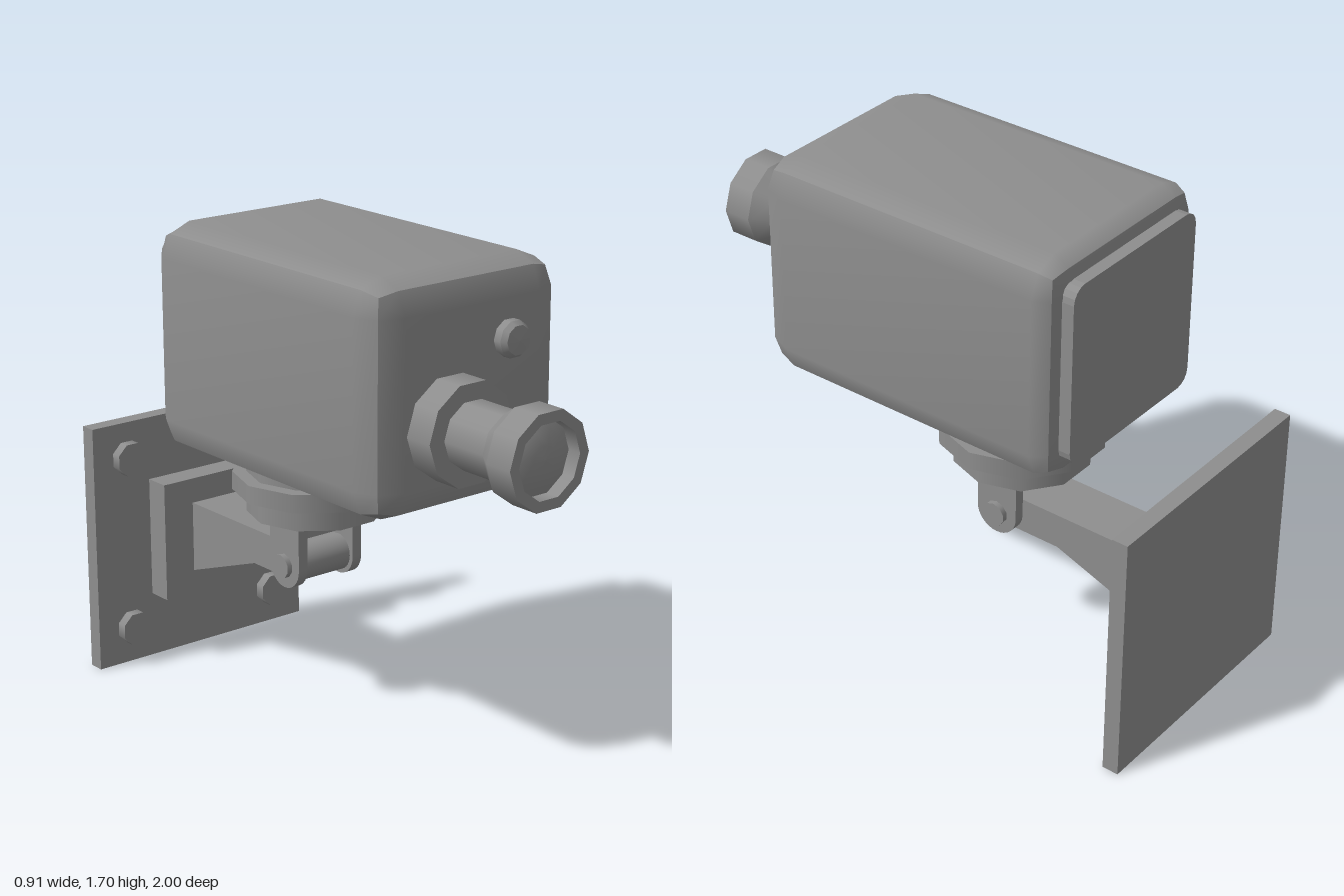
import * as THREE from 'three';
import { mergeGeometries, toCreasedNormals } from 'three/addons/utils/BufferGeometryUtils.js';

const material = new THREE.MeshStandardMaterial({ color: 0x8e8e8e });
const PIVOT = { y: 0.525, z: -0.255 };

// Housing: box with two-step rounded edges, creased halfway round each edge;
// the rounding is shallower at the rear
function housingGeometry(halfX, halfY, front, rear) {
  const geometry = new THREE.BoxGeometry(2, 2, 2, 3, 3, 3);
  const p = geometry.attributes.position;
  const v = new THREE.Vector3(), n = new THREE.Vector3();
  const outer = (t) => (Math.abs(t) > 0.5 ? Math.sign(t) : 0);
  for (let i = 0; i < p.count; i++) {
    v.fromBufferAttribute(p, i);
    n.set(outer(v.x), outer(v.y), outer(v.z)).normalize();
    const r = 0.115, rz = v.z > 0 ? r : 0.075;
    p.setXYZ(i,
      Math.sign(v.x) * (halfX - r) + n.x * r,
      Math.sign(v.y) * (halfY - r) + n.y * r,
      (v.z > 0 ? front - rz : rear + rz) + n.z * rz);
  }
  geometry.computeVertexNormals();
  return geometry;
}

export function createModel() {
  const group = new THREE.Group();

  const add = (name, geometry, x = 0, y = 0, z = 0) => {
    const mesh = new THREE.Mesh(geometry, material);
    mesh.name = name;
    mesh.position.set(x, y, z);
    group.add(mesh);
  };

  // Box given by its x, y and z ranges
  const box = (name, [x0, x1], [y0, y1], [z0, z1]) =>
    add(name, new THREE.BoxGeometry(x1 - x0, y1 - y0, z1 - z0),
      (x0 + x1) / 2, (y0 + y1) / 2, (z0 + z1) / 2);

  // Turned part from [radius, height] pairs: smooth around, sharp at each ring
  const turned = (profile, sides = 10, start = Math.PI / 2) => mergeGeometries(
    profile.slice(1).map((end, i) => new THREE.LatheGeometry(
      [profile[i], end].map(([r, h]) => new THREE.Vector2(r, h)), sides, start)));

  // Turned part with its axis along z
  const forward = (name, profile, x, y, sides, start) =>
    add(name, turned(profile, sides, start).rotateX(Math.PI / 2), x, y, 0);

  // Side outline (u = -z, v = y) extruded across x, centred on x = 0
  const sideExtrude = (shape, width) => toCreasedNormals(
    new THREE.ExtrudeGeometry(shape, { depth: width, bevelEnabled: false, curveSegments: 8 })
      .translate(0, 0, -width / 2).rotateY(Math.PI / 2), 0.6);

  // Camera housing
  add('housing', housingGeometry(0.395, 0.395, 0.545, -0.648), 0, 1.305, 0);

  // Rounded rear cover
  const w = 0.323, r = 0.055;
  const cover = new THREE.Shape();
  cover.absarc(w - r, w - r, r, 0, Math.PI / 2);
  cover.absarc(r - w, w - r, r, Math.PI / 2, Math.PI);
  cover.absarc(r - w, r - w, r, Math.PI, Math.PI * 1.5);
  cover.absarc(w - r, r - w, r, Math.PI * 1.5, Math.PI * 2);
  add('rearCover', new THREE.ExtrudeGeometry(cover, { depth: 0.05, bevelEnabled: false, curveSegments: 2 }),
    0, 1.305, -0.68);

  // Lens: collar, barrel, flared hood and recessed glass
  const lensX = -0.097, lensY = 1.207;
  forward('lensCollar', [[0.175, 0.5], [0.175, 0.652], [0, 0.652]], lensX, lensY);
  forward('lensBarrel', [[0.115, 0.64], [0.115, 0.826], [0.163, 0.895], [0.163, 1],
    [0.126, 1], [0.126, 0.95]], lensX, lensY);
  const glass = [[0.126, 0.95], [0.09, 0.967], [0.045, 0.978], [0, 0.982]];
  add('lensGlass', new THREE.LatheGeometry(glass.map(([x, y]) => new THREE.Vector2(x, y)), 10, Math.PI / 2)
    .rotateX(Math.PI / 2), lensX, lensY);

  // Small indicator lamp
  forward('indicatorLamp', [[0.063, 0.5], [0.063, 0.575], [0.05, 0.594], [0, 0.6]], 0.148, 1.455);

  // Swivel base under the housing
  add('swivelBase', turned([[0, 0.7], [0.238, 0.7], [0.238, 0.78], [0.287, 0.78],
    [0.287, 0.845], [0.238, 0.845], [0.238, 0.93]]), 0, 0, PIVOT.z);

  // Clevis: bridge and two rounded lugs
  box('clevisBridge', [-0.138, 0.138], [0.637, 0.71], [PIVOT.z - 0.08, PIVOT.z + 0.08]);
  const lug = new THREE.Shape();
  lug.moveTo(0.08, 0.18);
  lug.lineTo(-0.08, 0.18);
  lug.absarc(0, 0, 0.08, Math.PI, Math.PI * 2);
  lug.closePath();
  for (const side of [-1, 1]) {
    add(side > 0 ? 'leftLug' : 'rightLug', sideExtrude(lug, 0.038), side * 0.119, PIVOT.y, PIVOT.z);
  }

  // Hinge pin
  add('hingePin', turned([[0, -0.157], [0.043, -0.157], [0.043, 0.157], [0, 0.157]])
    .rotateZ(Math.PI / 2), 0, PIVOT.y, PIVOT.z);

  // Arm: round eye at the pivot, widening towards the wall
  const arm = new THREE.Shape();
  arm.moveTo(0.86, 0.588);
  arm.lineTo(0.255, 0.588);
  arm.absarc(0.255, PIVOT.y, 0.065, Math.PI / 2, Math.PI * 1.5);
  arm.lineTo(0.48, 0.46);
  arm.lineTo(0.85, 0.327);
  arm.lineTo(0.86, 0.327);
  arm.closePath();
  add('arm', sideExtrude(arm, 0.198));

  // Wall mount and its bolts
  box('mountBlock', [-0.222, 0.222], [0.24, 0.68], [-0.95, -0.847]);
  box('wallPlate', [-0.457, 0.457], [0, 0.912], [-1, -0.941]);
  for (const x of [-0.315, 0.315]) {
    for (const y of [0.135, 0.782]) {
      forward('bolt', [[0.063, -0.96], [0.063, -0.903], [0, -0.903]], x, y, 8, Math.PI / 8);
    }
  }

  return group;
}
